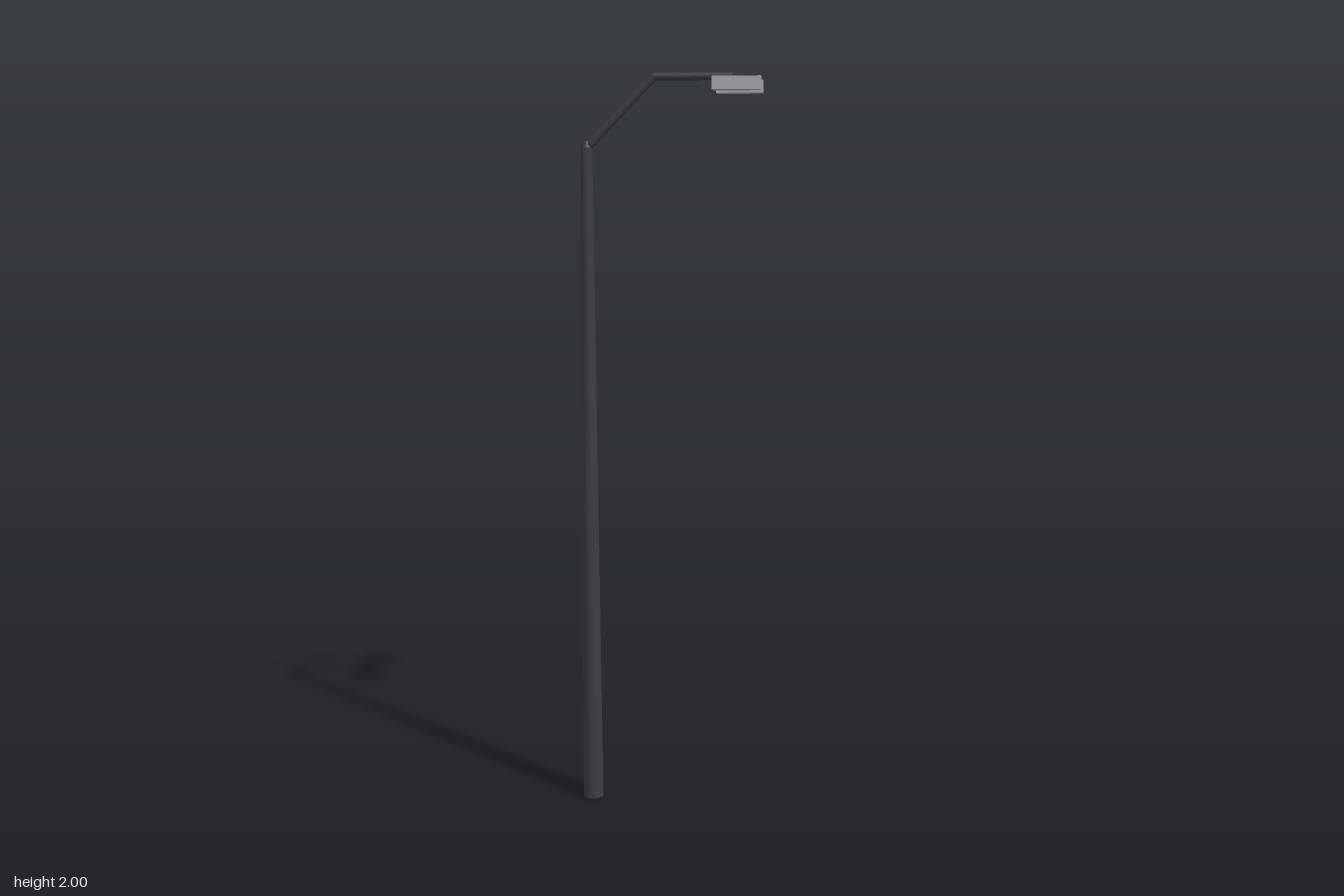
import * as THREE from 'three';

const dark = new THREE.MeshStandardMaterial({ color: 0x3c3d41 });
const pale = new THREE.MeshStandardMaterial({ color: 0xa9acb0 });

function add(group, name, geometry, material) {
  const mesh = new THREE.Mesh(geometry, material);
  mesh.name = name;
  group.add(mesh);
  return mesh;
}

// Round rod between two points, tapering from r0 to r1
function rod(group, name, a, b, r0, r1) {
  const from = new THREE.Vector3(...a), to = new THREE.Vector3(...b);
  const dir = to.clone().sub(from);
  const mesh = add(group, name, new THREE.CylinderGeometry(r1, r0, dir.length(), 20), dark);
  mesh.position.copy(from).add(to).multiplyScalar(0.5);
  mesh.quaternion.setFromUnitVectors(new THREE.Vector3(0, 1, 0), dir.normalize());
}

export function createModel() {
  const model = new THREE.Group();
  model.name = 'streetLamp';
  const poleX = -0.214, armY = 1.99, barX = 0.18;

  // Tapered pole with a small bevelled cap
  rod(model, 'pole', [poleX, 0, 0], [poleX, 1.812, 0], 0.0285, 0.0155);
  rod(model, 'poleCap', [poleX, 1.812, 0], [poleX, 1.828, 0], 0.0155, 0.01);

  // Bent arm: sloping part, elbow and level part
  const elbow = [-0.036, armY, 0];
  rod(model, 'slopingArm', [poleX, 1.81, 0], elbow, 0.0115, 0.0105);
  rod(model, 'levelArm', elbow, [barX, armY, 0], 0.0105, 0.0095);
  add(model, 'elbow', new THREE.SphereGeometry(0.0103, 20, 12), dark).position.set(...elbow);

  // Crossbar at the end of the arm
  rod(model, 'crossbar', [barX, armY, -0.095], [barX, armY, 0.095], 0.0095, 0.0095);

  // One lamp box under each end of the crossbar
  for (const side of [-1, 1]) {
    const lamp = add(model, side > 0 ? 'frontLamp' : 'backLamp',
      new THREE.BoxGeometry(0.122, 0.033, 0.052), pale);
    lamp.position.set(barX + 0.001, 1.968, side * 0.079);
  }
  return model;
}
